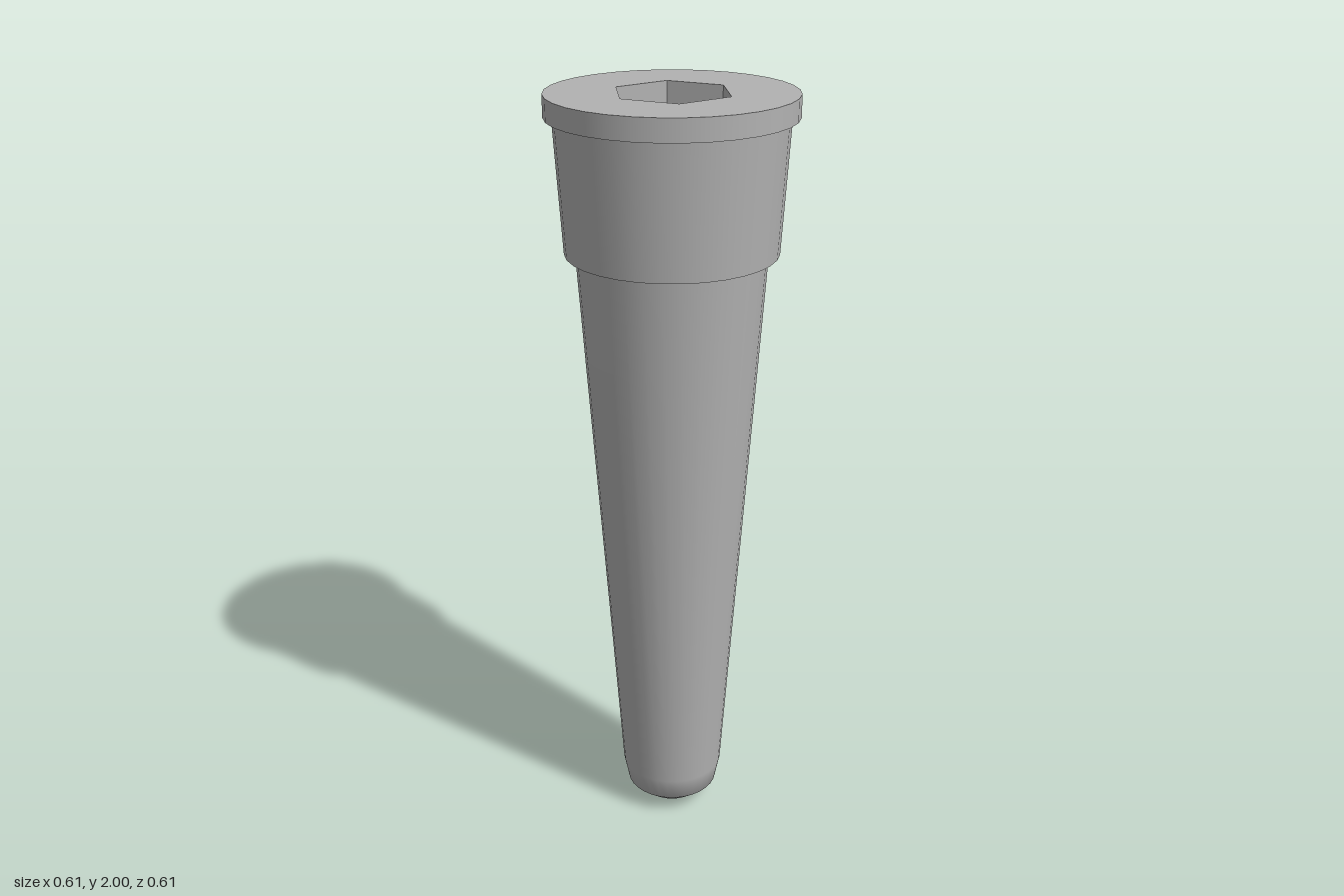
import * as THREE from 'three';

const SIDES = 32;
const SOCKET_DEPTH = 0.3;

export function createModel() {
  const group = new THREE.Group();
  const metal = new THREE.MeshStandardMaterial({ color: 0xb2b2b2 });
  metal.name = 'grey metal';

  const add = (name, geometry) => {
    const mesh = new THREE.Mesh(geometry, metal);
    mesh.name = name;
    group.add(mesh);
  };
  // Profiles run bottom to top (inner to outer for undersides) so they face outward
  const lathe = (name, profile) =>
    add(name, new THREE.LatheGeometry(profile.map(([r, y]) => new THREE.Vector2(r, y)), SIDES));

  // Tapered shaft with rounded nose
  lathe('shaft', [[0, 0], [0.078, 0.015], [0.125, 0.055], [0.138, 0.12], [0.238, 1.615]]);

  // Collar and flange, with flat ring undersides kept sharp
  lathe('collarUnderside', [[0.238, 1.615], [0.265, 1.615]]);
  lathe('collar', [[0.265, 1.615], [0.285, 1.945]]);
  lathe('flangeUnderside', [[0.285, 1.945], [0.305, 1.945]]);
  lathe('flange', [[0.305, 1.945], [0.305, 2]]);

  // Flat top with a hexagonal opening
  const ring = (radius, sides, cx) => Array.from({ length: sides }, (_, i) => {
    const a = Math.PI / 2 + (i / sides) * Math.PI * 2;
    return new THREE.Vector2(cx + Math.cos(a) * radius, Math.sin(a) * radius);
  });
  const disc = new THREE.Shape(ring(0.305, SIDES, 0));
  disc.holes.push(new THREE.Path(ring(0.149, 6, 0.002)));
  add('top', new THREE.ShapeGeometry(disc).rotateX(-Math.PI / 2).translate(0, 2, 0));

  // Socket walls: slightly tapered hexagonal tube turned inside out
  const tube = new THREE.CylinderGeometry(0.149, 0.145, SOCKET_DEPTH, 6, 1, true);
  tube.translate(0.002, 2 - SOCKET_DEPTH / 2, 0);
  const pos = tube.attributes.position;
  for (let i = 0; i < pos.count; i++) {
    if (pos.getY(i) < 1.9) pos.setX(i, pos.getX(i) - 0.003);
  }
  tube.setIndex(Array.from(tube.index.array).reverse());
  const walls = tube.toNonIndexed();
  walls.computeVertexNormals();
  add('socketWalls', walls);

  // Socket floor
  const floor = new THREE.CircleGeometry(0.145, 6, Math.PI / 2);
  add('socketFloor', floor.rotateX(-Math.PI / 2).translate(-0.001, 2 - SOCKET_DEPTH, 0));

  return group;
}
